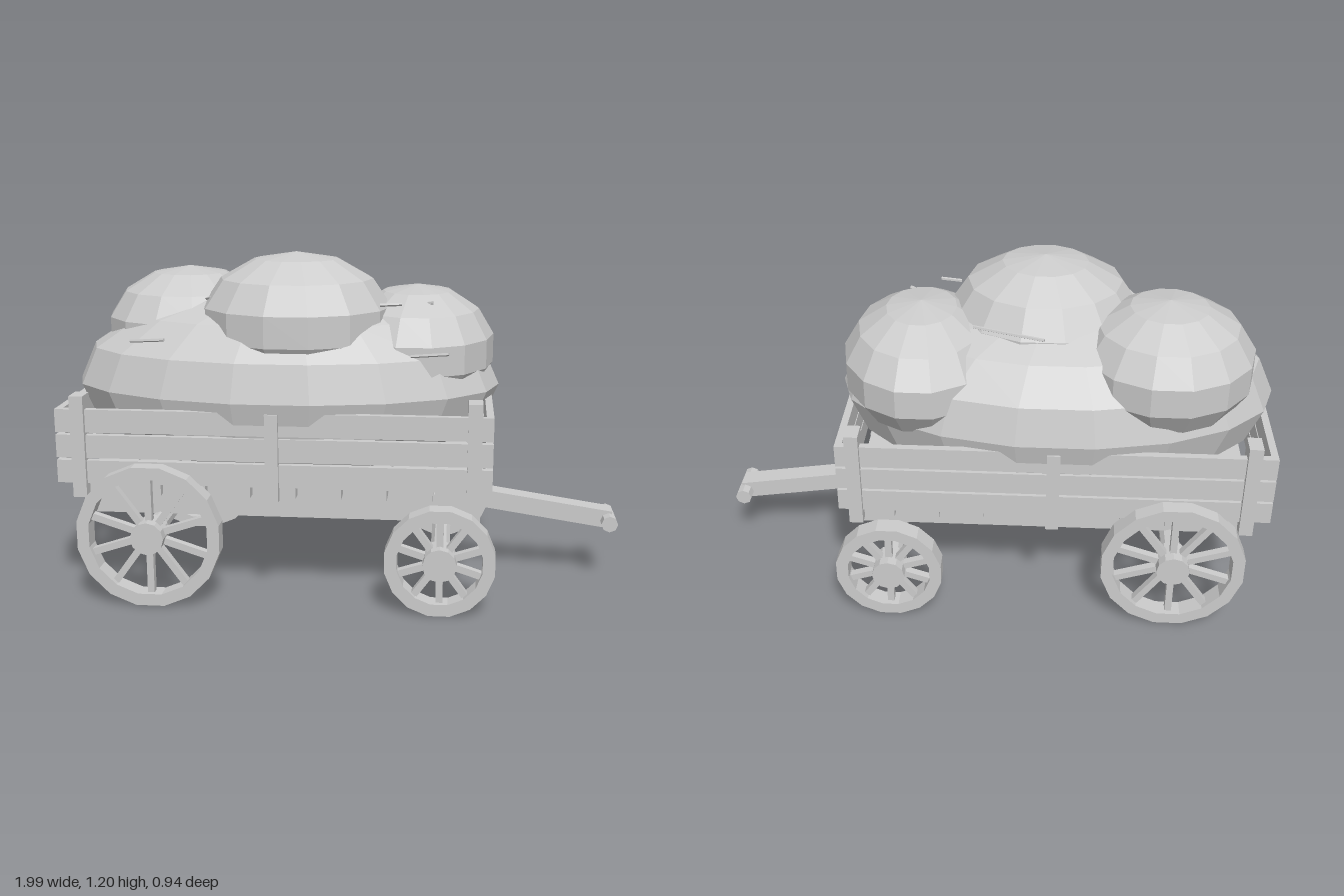
import * as THREE from 'three';

const grey = new THREE.MeshStandardMaterial({ color: 0xcccccc, flatShading: true });
grey.name = 'pale grey';

export function createModel() {
  const model = new THREE.Group();
  model.name = 'hayWagon';

  const add = (name, geometry, x, y, z, parent = model) => {
    const mesh = new THREE.Mesh(geometry, grey);
    mesh.name = name;
    mesh.position.set(x, y, z);
    parent.add(mesh);
    return mesh;
  };
  // Box given by its limits on each axis
  const box = (name, x0, x1, y0, y1, z0, z1) =>
    add(name, new THREE.BoxGeometry(x1 - x0, y1 - y0, z1 - z0), (x0 + x1) / 2, (y0 + y1) / 2, (z0 + z1) / 2);
  // Cylinder lying along z
  const rod = (name, r, length, sides, x, y, z, parent) =>
    add(name, new THREE.CylinderGeometry(r, r, length, sides).rotateX(Math.PI / 2), x, y, z, parent);

  // Floor boards laid across the wagon
  const boards = 9, pitch = 1.415 / boards;
  for (let i = 0; i < boards; i++) {
    const x = -0.925 + i * pitch;
    box('floorBoard', x, x + pitch - 0.008, 0.383, 0.428, -0.375, 0.375);
  }

  // Side and end planks, three rows each
  for (let row = 0; row < 3; row++) {
    const y0 = 0.43 + row * 0.09, y1 = y0 + 0.081;
    for (const s of [-1, 1]) {
      box('sidePlank', -0.95, 0.5, y0, y1, s * 0.3875 - 0.0125, s * 0.3875 + 0.0125);
    }
    box('rearPlank', -0.975, -0.95, y0, y1, -0.4, 0.4);
    box('frontPlank', 0.5, 0.525, y0, y1, -0.4, 0.4);
  }

  for (const s of [-1, 1]) {
    // Posts
    for (const x of [-0.893, 0.463]) {
      box('cornerPost', x - 0.024, x + 0.024, 0.383, 0.74, s * 0.3775 - 0.0375, s * 0.3775 + 0.0375);
    }
    box('middlePost', -0.245, -0.2, 0.383, 0.69, s * 0.4 - 0.017, s * 0.4 + 0.017);
    // Long beams under the floor
    box('chassisBeam', -0.925, 0.49, 0.285, 0.383, s * 0.2375 - 0.0375, s * 0.2375 + 0.0375);
  }

  // Wheels with rim, spokes and hub
  const wheel = (name, x, radius, y, z) => {
    const group = new THREE.Group();
    group.name = name;
    group.position.set(x, y, z);
    model.add(group);
    const inner = radius - 0.043, half = 0.033;
    const profile = [[radius, -half], [radius, half], [inner, half], [inner, -half], [radius, -half]]
      .map(([r, h]) => new THREE.Vector2(r, h));
    add('rim', new THREE.LatheGeometry(profile, 16, Math.PI / 16).rotateX(Math.PI / 2), 0, 0, 0, group);
    rod('hub', 0.058, 0.099, 12, 0, 0, 0, group);
    for (let i = 0; i < 10; i++) {
      const a = (i + 0.5) / 10 * Math.PI * 2, mid = (0.04 + inner + 0.005) / 2;
      const spoke = add('spoke', new THREE.BoxGeometry(inner - 0.035, 0.024, 0.028),
        Math.cos(a) * mid, Math.sin(a) * mid, 0, group);
      spoke.rotation.z = a;
    }
  };
  for (const s of [-1, 1]) {
    wheel('rearWheel', -0.65, 0.254, 0.256, s * 0.423);
    wheel('frontWheel', 0.353, 0.191, 0.193, s * 0.423);
  }
  rod('rearAxle', 0.035, 0.8, 10, -0.65, 0.256, 0);
  rod('frontAxle', 0.035, 0.8, 10, 0.353, 0.193, 0);

  // Sloping tongue and its cross handle
  const tongue = add('tongue', new THREE.BoxGeometry(0.63, 0.065, 0.075), 0.66, 0.276, 0);
  tongue.rotation.z = -0.148;
  rod('tongueHandle', 0.03, 0.158, 8, 0.964, 0.226, 0);

  // Load of hay: one long heap with three rounded piles on top
  const hay = (name, center, size, sides, rows) => {
    const g = new THREE.SphereGeometry(1, sides, rows);
    g.scale(...size);
    add(name, g, ...center);
  };
  hay('hayHeap', [-0.225, 0.725, 0], [0.775, 0.345, 0.425], 18, 8);
  hay('rearHayPile', [-0.6, 0.9, -0.11], [0.312, 0.232, 0.31], 14, 7);
  hay('middleHayPile', [-0.175, 0.96, 0.075], [0.348, 0.245, 0.31], 14, 7);
  hay('frontHayPile', [0.25, 0.85, -0.052], [0.285, 0.23, 0.345], 14, 7);

  // Loose straws, each from one end to the other
  const straws = [
    [[-0.74, 0.905, 0.25], [-0.61, 0.918, 0.29]],
    [[0.24, 0.872, 0.275], [0.37, 0.888, 0.31]],
    [[0.13, 1.035, 0.2], [0.205, 1.04, 0.205]],
    [[0.28, 1.03, 0.12], [0.31, 1.037, 0.135]],
    [[-0.18, 1.04, -0.25], [0.06, 1.05, -0.185]],
    [[-0.5, 1.035, 0.1], [-0.47, 1.045, 0.14]],
  ];
  for (const [a, b] of straws) {
    const p = new THREE.Vector3(...a), q = new THREE.Vector3(...b);
    const mid = p.clone().lerp(q, 0.5), dir = q.clone().sub(p);
    const straw = add('straw', new THREE.CylinderGeometry(0.006, 0.006, dir.length(), 5), mid.x, mid.y, mid.z);
    straw.quaternion.setFromUnitVectors(new THREE.Vector3(0, 1, 0), dir.normalize());
  }

  return model;
}
